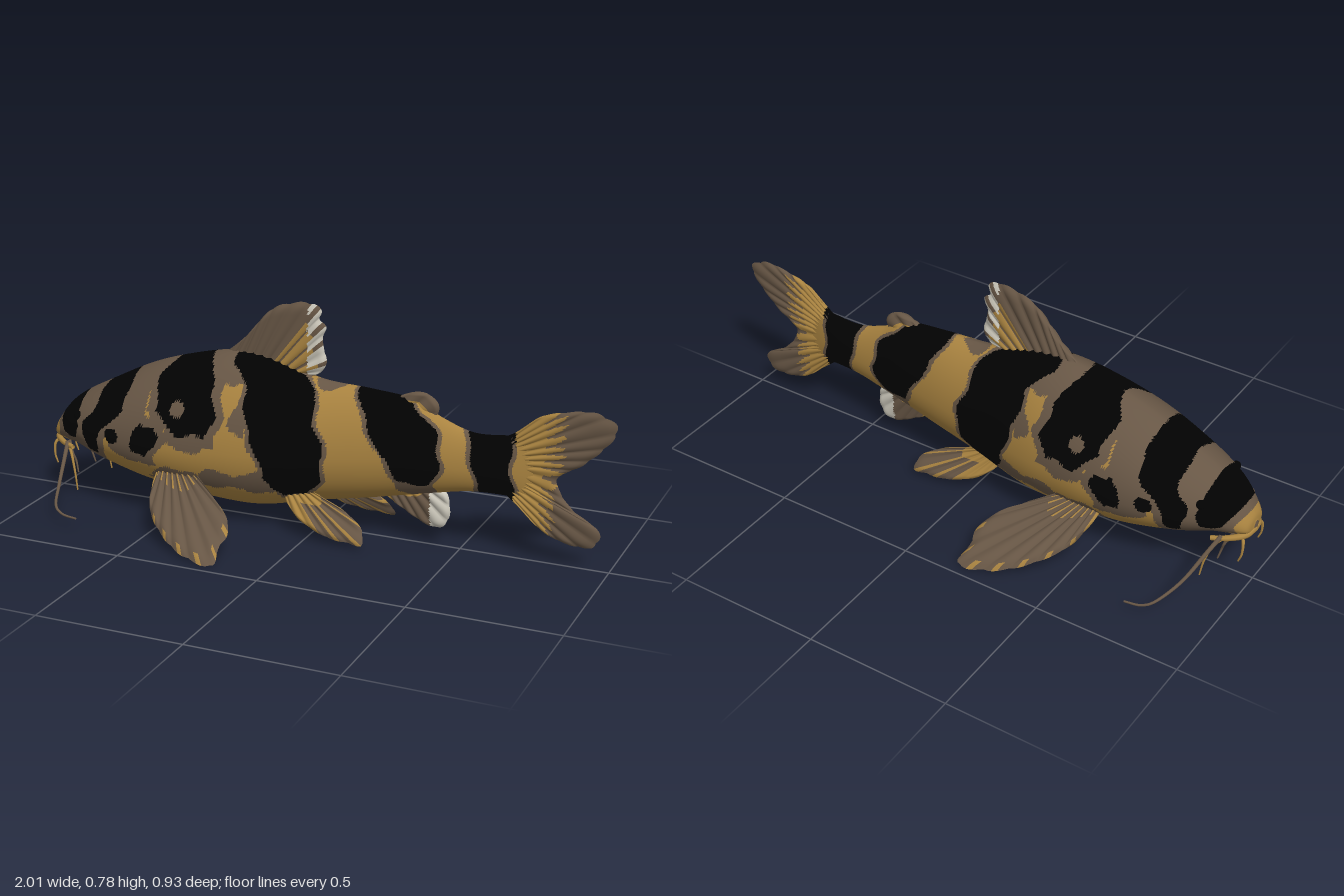
import * as THREE from 'three';

const flat = (name, color) => {
  const m = new THREE.MeshStandardMaterial({ color, side: THREE.DoubleSide });
  m.name = name;
  return m;
};
const mats = [flat('gold', 0xa98340), flat('brown', 0x675645), flat('black', 0x020202), flat('pale', 0xcbc7ba)];
const GOLD = 0, BROWN = 1, BLACK = 2, PALE = 3;
const V = (x, y, z = 0) => new THREE.Vector3(x, y, z);
const curve = (pts) => new THREE.CatmullRomCurve3(pts, false, 'catmullrom', 0.5);

// Mesh from a vertex list and one triangle list per colour
function paintedMesh(name, pos, lists) {
  const g = new THREE.BufferGeometry();
  g.setAttribute('position', new THREE.Float32BufferAttribute(pos, 3));
  g.setIndex(lists.flat());
  let start = 0;
  lists.forEach((l, k) => {
    if (l.length) g.addGroup(start, l.length, k);
    start += l.length;
  });
  g.computeVertexNormals();
  const mesh = new THREE.Mesh(g, mats);
  mesh.name = name;
  return mesh;
}

// Body stations: x, top, bottom, half width
const stations = [
  [-0.995, 0.235, 0.205, 0.015], [-0.985, 0.265, 0.195, 0.055], [-0.94, 0.325, 0.185, 0.09],
  [-0.88, 0.372, 0.178, 0.125], [-0.78, 0.425, 0.145, 0.168], [-0.62, 0.503, 0.1, 0.2],
  [-0.47, 0.552, 0.075, 0.208], [-0.31, 0.585, 0.057, 0.194], [-0.18, 0.578, 0.06, 0.172],
  [0, 0.525, 0.1, 0.13], [0.18, 0.512, 0.135, 0.1], [0.33, 0.495, 0.168, 0.077],
  [0.43, 0.445, 0.19, 0.06], [0.54, 0.41, 0.21, 0.043], [0.66, 0.417, 0.212, 0.025],
  [0.74, 0.425, 0.205, 0.008],
];

// Dark bands, each as rows of y, front x, rear x from the back downwards
const bands = [
  [[0.7, -0.98, -0.87], [0.36, -0.98, -0.87], [0.28, -0.95, -0.84], [0.24, -0.93, -0.87]],
  [[0.7, -0.78, -0.665], [0.46, -0.775, -0.66], [0.38, -0.775, -0.65], [0.3, -0.82, -0.73], [0.21, -0.81, -0.77]],
  [[0.345, -0.575, -0.52], [0.31, -0.61, -0.505], [0.28, -0.61, -0.52], [0.24, -0.6, -0.55]],
  [[0.7, -0.5, -0.39], [0.56, -0.5, -0.37], [0.5, -0.54, -0.325], [0.4, -0.52, -0.305], [0.33, -0.44, -0.33]],
  [[0.7, -0.28, -0.09], [0.56, -0.28, -0.08], [0.5, -0.215, 0], [0.4, -0.2, 0.025], [0.3, -0.165, 0.06],
    [0.2, -0.14, 0.04], [0.14, -0.09, -0.01]],
  [[0.7, 0.14, 0.3], [0.5, 0.155, 0.32], [0.45, 0.175, 0.38], [0.4, 0.2, 0.42], [0.3, 0.265, 0.445], [0.225, 0.31, 0.41]],
  [[0.7, 0.515, 0.67], [0.42, 0.515, 0.67], [0.33, 0.545, 0.665], [0.205, 0.565, 0.68]],
];

// Brown blotches on the flanks: x, y, radius along x, radius along y
const blotches = [[-0.16, 0.18, 0.07, 0.045], [-0.45, 0.17, 0.1, 0.035], [0.06, 0.53, 0.06, 0.03], [0.36, 0.2, 0.07, 0.03]];

function bandDepth(rows, x, y) {
  const first = rows[0][0], last = rows[rows.length - 1][0];
  const cy = Math.min(first, Math.max(last, y));
  let i = 1;
  while (cy < rows[i][0]) i++;
  const a = rows[i - 1], b = rows[i], t = (a[0] - cy) / (a[0] - b[0]);
  const x0 = a[1] + (b[1] - a[1]) * t, x1 = a[2] + (b[2] - a[2]) * t;
  return Math.min(x - x0, x1 - x, y - last, first - y);
}

function bodyColour(x, y) {
  const wx = x + 0.007 * Math.sin(y * 50 + x * 8);
  const wy = y + 0.006 * Math.sin(x * 55);
  const d = Math.max(...bands.map((r) => bandDepth(r, wx, wy)));
  if (Math.hypot(x + 0.44, y - 0.41) < 0.026) return BROWN;
  if (d > 0 || Math.hypot((x + 0.69) / 1.1, y - 0.285) < 0.026) return BLACK;
  if (d > (x < -0.25 ? -0.032 : -0.014)) return BROWN;
  if (blotches.some(([bx, by, rx, ry]) => Math.hypot((wx - bx) / rx, (wy - by) / ry) < 1)) return BROWN;
  if (x < -0.56 && wy > 0.26 - (x + 0.6) * 0.1) return BROWN;
  if (x < -0.2 && wy > 0.15 && Math.sin(x * 24 + y * 15) + Math.sin(y * 32 - x * 9) > 0.45) return BROWN;
  return GOLD;
}

function makeBody() {
  const N = 340, M = 120, pos = [], lists = [[], [], [], []];
  const outline = curve(stations.map((s) => V(s[0], s[1], s[2])));
  const widths = curve(stations.map((s) => V(s[0], s[3])));
  for (let i = 0; i <= N; i++) {
    const { x, y: top, z: low } = outline.getPoint(i / N);
    const w = widths.getPoint(i / N).y;
    const mid = low + (top - low) * 0.42;
    for (let j = 0; j < M; j++) {
      const a = (j / M) * Math.PI * 2, s = Math.sin(a), c = Math.cos(a);
      const z = w * Math.sign(c) * Math.abs(c) ** (s > 0 ? 1.22 : 1.08);
      pos.push(x, mid + s * (s > 0 ? top - mid : mid - low), z);
    }
  }
  const paint = (...t) => {
    const mean = (k) => t.reduce((sum, v) => sum + pos[v * 3 + k], 0) / 3;
    lists[bodyColour(mean(0), mean(1))].push(...t);
  };
  for (let i = 0; i < N; i++) for (let j = 0; j < M; j++) {
    const k = (j + 1) % M, a = i * M + j, c = (i + 1) * M + k, d = i * M + k;
    paint(a, a + M, c);
    paint(a, c, d);
  }
  // close the snout
  const tip = pos.length / 3;
  pos.push(-1, 0.22, 0);
  for (let j = 0; j < M; j++) lists[BROWN].push(tip, j, (j + 1) % M);
  return paintedMesh('body', pos, lists);
}

// Rayed fin: a base line fanned out to a free edge; place() puts 2D points in space
function makeFin(name, { base, edge, thick, rays, place = (a, b) => V(a, b), normal = V(0, 0, 1), colour }) {
  const U = rays * 8, W = 20, pos = [], lists = [[], [], [], []];
  const from = curve(base.map((p) => V(...p))), to = curve(edge.map((p) => V(...p)));
  const plan = [];
  for (const side of [1, -1]) for (let i = 0; i <= U; i++) for (let j = 0; j <= W; j++) {
    const u = i / U, v = j / W, ridge = Math.abs(Math.cos(u * rays * Math.PI));
    const frayed = v * (1 - 0.025 * (1 - ridge) * v * v);
    const p = from.getPointAt(u).lerp(to.getPointAt(u), frayed);
    const rim = Math.min(1, 7 * u, 9 * (1 - u), 8 * (1 - v));
    const t = thick * (0.5 + 0.5 * ridge) * (1 - 0.3 * v) * Math.sqrt(Math.max(0, rim));
    const q = place(p.x, p.y).addScaledVector(normal, side * t);
    pos.push(q.x, q.y, q.z);
    plan.push(p.x);
  }
  const half = (U + 1) * (W + 1);
  for (let s = 0; s < 2; s++) for (let i = 0; i < U; i++) for (let j = 0; j < W; j++) {
    const a = s * half + i * (W + 1) + j, b = a + W + 1;
    const k = colour((i + 0.5) / U, (j + 0.5) / W, Math.abs(Math.cos(((i + 0.5) / U) * rays * Math.PI)), plan[a]);
    lists[k].push(...(s ? [a, b, b + 1, a, b + 1, a + 1] : [a, b + 1, b, a, a + 1, b + 1]));
  }
  return paintedMesh(name, pos, lists);
}

function makeTube(name, pts, radius, mat, tip = 0.4) {
  const n = 24, path = curve(pts.map((p) => V(...p)));
  const g = new THREE.TubeGeometry(path, n, radius, 8);
  // taper towards the free end
  const p = g.attributes.position, q = V(0, 0);
  for (let i = 0; i < p.count; i++) {
    const t = Math.floor(i / 9) / n, c = path.getPointAt(t);
    q.fromBufferAttribute(p, i).sub(c).multiplyScalar(1 - (1 - tip) * t).add(c);
    p.setXYZ(i, q.x, q.y, q.z);
  }
  const mesh = new THREE.Mesh(g, mat);
  mesh.name = name;
  return mesh;
}

export function createModel() {
  const fish = new THREE.Group();
  fish.name = 'catfish';
  fish.add(makeBody());

  // Fins on the centre line
  fish.add(makeFin('dorsalFin', {
    base: [[-0.36, 0.55], [-0.2, 0.55], [-0.05, 0.53]],
    edge: [[-0.34, 0.575], [-0.27, 0.635], [-0.18, 0.735], [-0.11, 0.768], [-0.03, 0.778], [0.008, 0.755],
      [0, 0.725], [0.024, 0.7], [0.01, 0.655], [0.025, 0.59], [0.01, 0.55], [-0.02, 0.53]],
    thick: 0.018, rays: 10,
    colour: (u, v, r, x) => (x > -0.045 && u > 0.55 && r < 0.85 ? PALE : u > 0.6 && v < 0.75 && r > 0.4 ? GOLD : BROWN),
  }));
  fish.add(makeFin('tailFin', {
    base: [[0.65, 0.415], [0.66, 0.315], [0.65, 0.215]],
    edge: [[0.7, 0.44], [0.75, 0.49], [0.82, 0.515], [0.93, 0.53], [1.005, 0.495], [0.985, 0.435], [0.9, 0.35],
      [0.828, 0.305], [0.825, 0.26], [0.88, 0.19], [0.96, 0.14], [0.955, 0.085], [0.89, 0.072],
      [0.79, 0.1], [0.7, 0.175]],
    thick: 0.014, rays: 18,
    colour: (u, v, r, x) => (x < 0.675 ? BLACK : x < 0.75 + (u < 0.55 ? 0.09 : 0.06) * r ? GOLD : BROWN),
  }));
  fish.add(makeFin('adiposeFin', {
    base: [[0.26, 0.47], [0.33, 0.46], [0.38, 0.44]],
    edge: [[0.28, 0.5], [0.33, 0.52], [0.38, 0.52], [0.415, 0.49], [0.415, 0.455], [0.39, 0.435]],
    thick: 0.02, rays: 3, colour: (u, v) => (v > 0.5 ? BROWN : GOLD),
  }));
  fish.add(makeFin('analFin', {
    base: [[0.22, 0.18], [0.32, 0.2], [0.4, 0.22]],
    edge: [[0.24, 0.15], [0.32, 0.1], [0.39, 0.065], [0.44, 0.07], [0.463, 0.115], [0.455, 0.18], [0.42, 0.21]],
    thick: 0.018, rays: 7,
    colour: (u, v, r, x) => (u > 0.45 && x > 0.39 ? PALE : u < 0.12 || v < 0.25 ? GOLD : BROWN),
  }));

  // Paired fins, whiskers, eyes and lips
  for (const s of [1, -1]) {
    const side = s > 0 ? 'left' : 'right';
    fish.add(makeFin(side + 'PectoralFin', {
      base: [[-0.53, 0.16], [-0.46, 0.16], [-0.38, 0.15]],
      edge: [[-0.525, 0.2], [-0.48, 0.31], [-0.38, 0.4], [-0.28, 0.45], [-0.175, 0.467], [-0.18, 0.41],
        [-0.175, 0.35], [-0.205, 0.29], [-0.29, 0.225], [-0.36, 0.18]],
      thick: 0.021, rays: 10,
      place: (x, z) => V(x, 0.178 - (z - 0.16) * 0.575, s * z),
      normal: V(0, 0.88, s * 0.48),
      colour: (u, v, r) => (u < 0.05 || (v < 0.25 && r > 0.85) || (v > 0.92 && r > 0.85) ? GOLD : BROWN),
    }));
    fish.add(makeFin(side + 'PelvicFin', {
      base: [[-0.1, 0.14], [-0.04, 0.15], [0.02, 0.15]],
      edge: [[-0.08, 0.11], [-0.02, 0.065], [0.08, 0.03], [0.16, 0.022], [0.215, 0.022], [0.2, 0.07],
        [0.12, 0.115], [0.05, 0.135]],
      thick: 0.016, rays: 7,
      place: (x, y) => V(x, y, s * (0.085 + (0.13 - y) * 0.62)),
      normal: V(0, 0.53, s * 0.85),
      colour: (u, v, r) => (u < 0.3 || v < 0.3 || r > 0.92 ? GOLD : BROWN),
    }));
    const whiskers = [
      [[-0.92, 0.2, 0.09], [-0.9, 0.16, 0.15], [-0.87, 0.1, 0.24], [-0.83, 0.065, 0.33], [-0.79, 0.047, 0.355], [-0.735, 0.042, 0.362]],
      [[-0.93, 0.19, 0.07], [-0.9, 0.16, 0.1], [-0.88, 0.1, 0.115], [-0.87, 0.04, 0.12]],
      [[-0.94, 0.19, 0.045], [-0.92, 0.15, 0.06], [-0.91, 0.12, 0.055], [-0.9, 0.08, 0.06]],
      [[-0.97, 0.2, 0.045], [-0.985, 0.18, 0.065], [-0.985, 0.14, 0.07], [-0.975, 0.11, 0.07]],
    ];
    whiskers.forEach((pts, i) => fish.add(makeTube(`${side}Whisker${i + 1}`,
      pts.map(([x, y, z]) => [x, y, s * z]), i ? 0.006 : 0.008, mats[i % 2 ? GOLD : BROWN], 0.45)));
    fish.add(makeTube(side + 'Lip', [[-0.99, 0.205, 0], [-0.98, 0.2, s * 0.045], [-0.94, 0.195, s * 0.082],
      [-0.89, 0.19, s * 0.105]], 0.013, mats[GOLD], 0.6));
    const eye = new THREE.Mesh(new THREE.SphereGeometry(0.016, 16, 12), mats[BLACK]);
    eye.name = side + 'Eye';
    eye.position.set(-0.855, 0.315, s * 0.118);
    fish.add(eye);
  }
  return fish;
}
